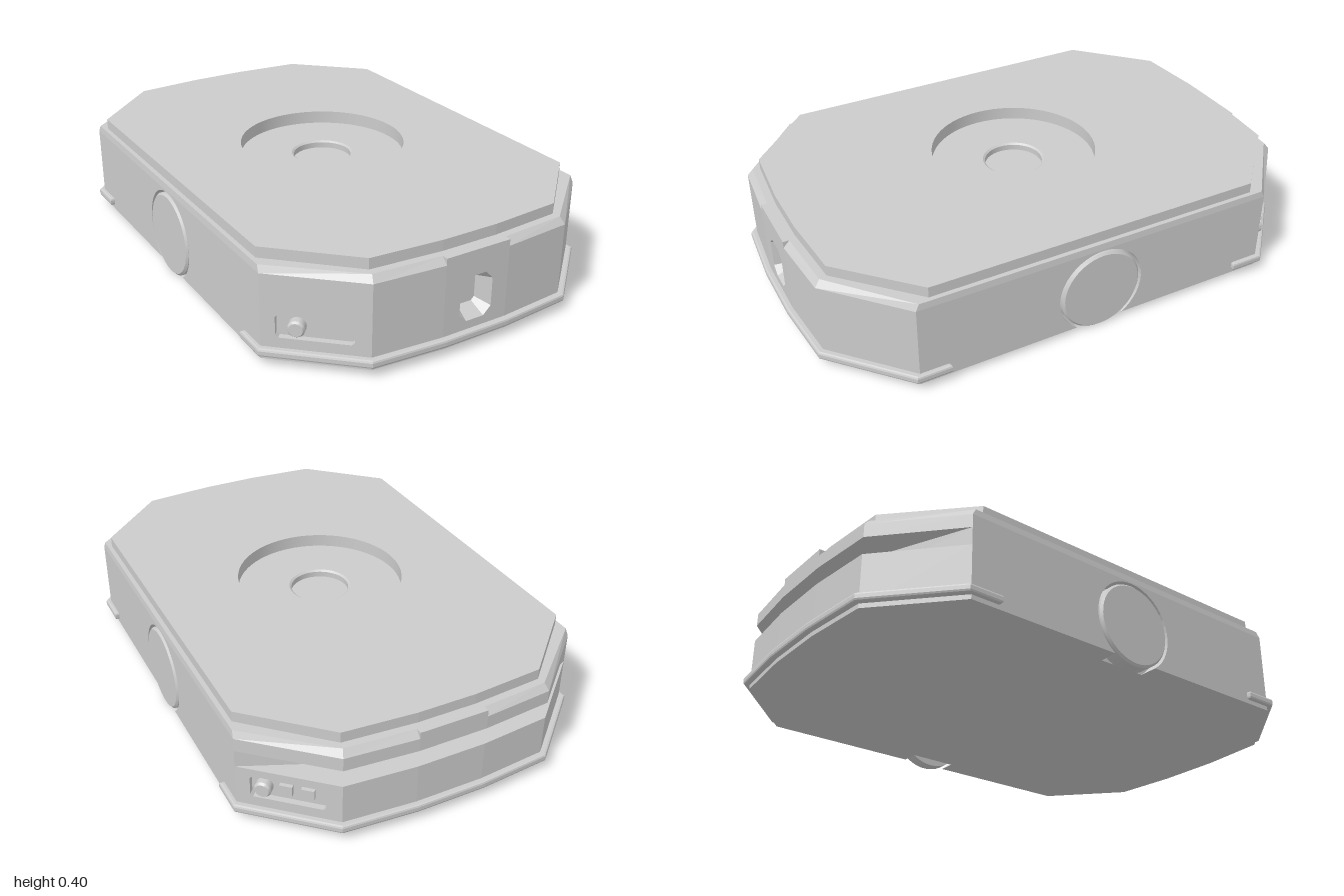
import * as THREE from 'three';
import { toCreasedNormals } from 'three/addons/utils/BufferGeometryUtils.js';

const mat = new THREE.MeshStandardMaterial({ color: 0xcccccc, side: THREE.DoubleSide });
const V = (x, y, z) => new THREE.Vector3(x, y, z);

function add(parent, name, geometry) {
  const mesh = new THREE.Mesh(geometry, mat);
  mesh.name = name;
  parent.add(mesh);
  return mesh;
}

const shapeOf = pts => new THREE.Shape(pts.map(p => new THREE.Vector2(p[0], p[1])));

// Full outline [x, z] from its front +x quarter, running from -x over the front to the back
function outline(quarter) {
  const front = [...quarter.map(([x, z]) => [-x, z]), ...quarter.slice().reverse()];
  return [...front, ...front.map(([x, z]) => [-x, -z])];
}

// Horizontal face, optionally with a round hole
function flat(pts, y, holeR = 0) {
  const s = shapeOf(pts.map(([x, z]) => [x, -z]));
  if (holeR) s.holes.push(new THREE.Path().absarc(0, 0, holeR, 0, Math.PI * 2, true));
  return new THREE.ShapeGeometry(s, 32).rotateX(-Math.PI / 2).translate(0, y, 0);
}

// Flat-shaded band between two rings of points
function strip(a, b, closed = true) {
  const pos = [];
  for (let i = 0; i < a.length - (closed ? 0 : 1); i++) {
    const j = (i + 1) % a.length;
    for (const p of [a[i], a[j], b[j], a[i], b[j], b[i]]) pos.push(p.x, p.y, p.z);
  }
  const g = new THREE.BufferGeometry();
  g.setAttribute('position', new THREE.Float32BufferAttribute(pos, 3));
  g.computeVertexNormals();
  return g;
}
const ring = (pts, y) => pts.map(([x, z]) => V(x, y, z));

// Group whose x runs along a wall edge, y is up and z points outwards
function edgeGroup(parent, name, [ax, az], [bx, bz]) {
  const g = new THREE.Group();
  g.name = name;
  g.position.set(ax, 0, az);
  g.rotation.y = Math.atan2(-(bz - az), bx - ax);
  parent.add(g);
  return g;
}

const rect = (x0, y0, x1, y1) => [[x0, y0], [x1, y0], [x1, y1], [x0, y1]];
const octagon = (cx, cy, w, h, c) => [
  [cx - w + c, cy - h], [cx + w - c, cy - h], [cx + w, cy - h + c], [cx + w, cy + h - c],
  [cx + w - c, cy + h], [cx - w + c, cy + h], [cx - w, cy + h - c], [cx - w, cy - h + c]];

// Wall panel with an optional sunken pocket
function wall(g, contour, hole, inner, depth) {
  const s = shapeOf(contour);
  if (hole) {
    s.holes.push(shapeOf(hole));
    add(g, 'pocketSides', strip(hole.map(p => V(p[0], p[1], 0)), inner.map(p => V(p[0], p[1], -depth))));
    add(g, 'pocketFloor', new THREE.ShapeGeometry(shapeOf(inner)).translate(0, 0, -depth));
  }
  add(g, 'wallPanel', new THREE.ShapeGeometry(s));
}

export function createModel() {
  const root = new THREE.Group();
  root.name = 'transportRobot';

  const body = outline([[0.665, 0.71], [0.395, 0.955], [0.13, 0.978]]);
  const Y0 = 0.02, Y1 = 0.335, SHOULDER = 0.36, TOP = 0.4, SLOT0 = 0.22, SLOT1 = 0.285;

  // Wheel arch curve, open at the bottom
  const wheelY = 0.16, archR = 0.17;
  const start = Math.asin((Y0 - wheelY) / archR);
  const archHalf = archR * Math.cos(start);
  const arch = [];
  for (let i = 0; i <= 36; i++) {
    const t = Math.PI - start + (2 * start - Math.PI) * i / 36;
    arch.push([0.71 + archR * Math.cos(t), wheelY + archR * Math.sin(t)]);
  }

  // Side walls, one outline edge at a time
  body.forEach((a, i) => {
    const b = body[(i + 1) % body.length];
    const len = Math.hypot(b[0] - a[0], b[1] - a[1]);
    const g = edgeGroup(root, 'bodyWall', a, b);
    const back = i >= 6 && i <= 10;
    const main = rect(0, Y0, len, back ? SLOT0 : Y1);
    if (back) wall(g, rect(0, SLOT1, len, Y1));

    if (i === 5 || i === 11) {
      wall(g, [[0, Y0], ...arch, [len, Y0], [len, Y1], [0, Y1]]);
      add(g, 'wheelWell', strip(arch.map(p => V(p[0], p[1], 0)), arch.map(p => V(p[0], p[1], -0.07)), false));
      add(g, 'wheelWellBack', new THREE.ShapeGeometry(shapeOf(arch)).translate(0, 0, -0.07));
      const profile = [[0, -0.055], [0.16, -0.055], [0.16, -0.003], [0.152, 0.005], [0, 0.005]];
      const wheel = new THREE.LatheGeometry(profile.map(p => new THREE.Vector2(...p)), 48);
      add(g, 'wheel', toCreasedNormals(wheel.rotateX(Math.PI / 2), 0.5)).position.set(0.71, wheelY, 0);
    } else if (i === 0 || i === 6) {
      // Control panels on two opposite corners
      const panel = octagon(0.18, 0.148, 0.13, 0.043, 0.01);
      wall(g, main, panel, panel, 0.022);
      const bx = i ? 0.095 : 0.12;
      const knob = [[0.03, 0], [0.03, 0.026], [0.024, 0.034], [0, 0.034]].map(p => new THREE.Vector2(...p));
      add(g, 'button', toCreasedNormals(new THREE.LatheGeometry(knob, 20).rotateX(Math.PI / 2), 0.5))
        .position.set(bx, 0.146, -0.022);
      if (i) for (const x of [0.17, 0.245]) {
        add(g, 'socket', new THREE.BoxGeometry(0.045, 0.038, 0.02)).position.set(x, 0.148, -0.018);
      }
    } else if (i === 2) {
      // Front sensor pocket with tapered sides
      wall(g, main, octagon(0.13, 0.182, 0.066, 0.083, 0.03), octagon(0.13, 0.182, 0.042, 0.053, 0.012), 0.06);
    } else wall(g, main);
  });

  // Scanner slot across the back
  const slotInner = [[0.665, -0.71], [0.3, -0.87], [-0.3, -0.87], [-0.665, -0.71]];
  const slotFace = [...body.slice(6, 12), [-0.3, -0.87], [0.3, -0.87]];
  const slot = new THREE.Group();
  slot.name = 'scannerSlot';
  root.add(slot);
  add(slot, 'slotFloor', flat(slotFace, SLOT0));
  add(slot, 'slotCeiling', flat(slotFace, SLOT1));
  add(slot, 'slotBack', strip(ring(slotInner, SLOT0), ring(slotInner, SLOT1), false));

  // Underside with notches for the wheels
  const notch = s => [[0.665, archHalf], [0.595, archHalf], [0.595, -archHalf], [0.665, -archHalf]]
    .map(([x, z]) => [s * x, s * z]);
  add(root, 'underside', flat([...body.slice(0, 6), ...notch(1), ...body.slice(6), ...notch(-1)], Y0));

  // Bevelled shoulder, left square at the middle of the front and back
  const low = outline([[0.665, 0.71], [0.395, 0.955], [0.13, 0.978], [0.13, 0.978]]);
  const high = outline([[0.662, 0.697], [0.387, 0.935], [0.13, 0.955], [0.13, 0.978]]);
  add(root, 'shoulderBevel', strip(ring(low, Y1), ring(high, SHOULDER)));
  add(root, 'shoulderTop', flat(high, SHOULDER, 0.32));

  // Lifting deck with round recess and central well
  const deck = outline([[0.645, 0.655], [0.38, 0.907], [0.11, 0.928]]);
  add(root, 'deckEdge', strip(ring(deck, SHOULDER), ring(deck, TOP)));
  add(root, 'deckTop', flat(deck, TOP, 0.32));
  const recess = [[0, 0.322], [0.112, 0.322], [0.112, 0.344], [0.12, 0.35], [0.32, 0.35], [0.32, TOP]];
  add(root, 'deckRecess', toCreasedNormals(
    new THREE.LatheGeometry(recess.map(p => new THREE.Vector2(...p)), 64), 0.5));

  // Bumper strips round both ends
  const outer = [[0.682, 0.595], [0.682, 0.725], [0.405, 0.977], [0.13, 1]];
  const inner = [[0.655, 0.595], [0.655, 0.705], [0.39, 0.945], [0.13, 0.968]];
  const mirror = q => [...q, ...q.slice().reverse().map(([x, z]) => [-x, z])];
  const bumper = new THREE.ExtrudeGeometry(shapeOf([...mirror(outer), ...mirror(inner).reverse()]), {
    depth: 0.014, bevelThickness: 0.008, bevelSize: 0.008, bevelOffset: -0.008, bevelSegments: 2 });
  bumper.rotateX(Math.PI / 2).translate(0, 0.059, 0);
  add(root, 'frontBumper', bumper);
  add(root, 'backBumper', bumper).rotation.y = Math.PI;

  return root;
}
